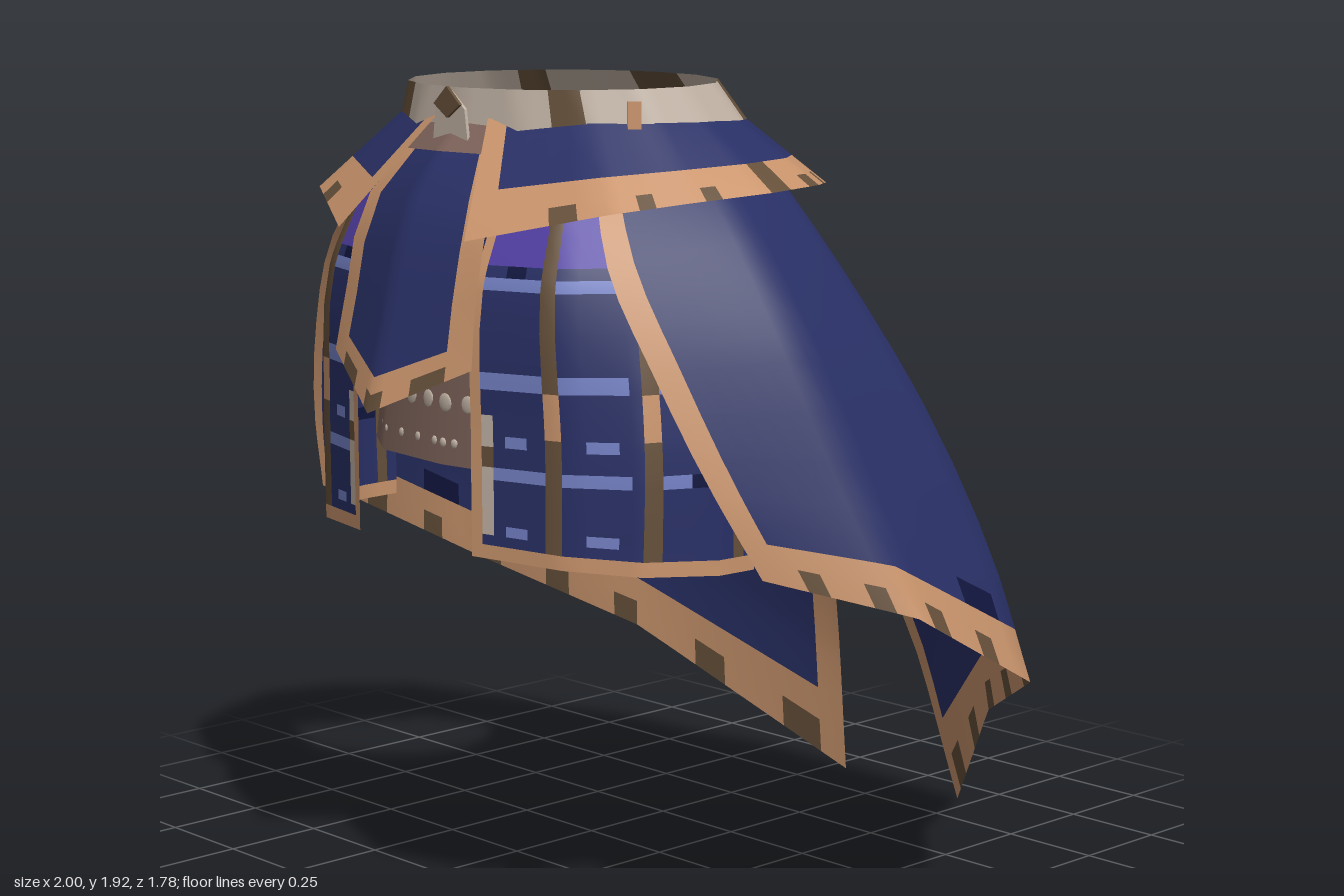
import * as THREE from 'three';
import { mergeVertices } from 'three/addons/utils/BufferGeometryUtils.js';

const mat = (name, color) => new THREE.MeshStandardMaterial({ name, color, side: THREE.DoubleSide });
const navy = mat('navy cloth', 0x293066);
const tan = mat('tan trim', 0xc9946c);
const brown = mat('worn brown', 0x66503a);
const beige = mat('beige leather', 0xc2b3a5);
const purple = mat('purple cloth', 0x5441a8);
const blue = mat('pale blue stripe', 0x7582c6);
const ink = mat('dark navy', 0x11163f);
const lining = mat('brown lining', 0x7f645b);

const spline = points => new THREE.CatmullRomCurve3(points, false, 'catmullrom', 0.5);
const steps = (from, to, count) => Array.from({ length: count + 1 }, (_, i) => from + (to - from) * i / count);
const within = (x, a, b) => x > a && x < b;

// Surface through several downward curves; u walks over the columns, v runs down.
// soft rounds the upper part across the columns, while the hem stays angular.
function surface(columns, soft) {
  const curves = columns.map(c => spline(c.map(p => new THREE.Vector3(...p))));
  return (u, v) => {
    const k = Math.min(Math.floor(u), curves.length - 2);
    const ring = curves.map(c => c.getPoint(v));
    const p = ring[k].clone().lerp(ring[k + 1], u - k);
    if (soft) p.lerp(spline(ring).getPoint(u / (curves.length - 1)), soft * (1 - v));
    p.x = Math.max(p.x, 0);
    return p;
  };
}

// Mirrored cloth sheet: every cell of the grid takes the material from paint(u, v, column)
function sheet(name, columns, us, vs, paint, soft = 0) {
  const at = surface(columns, soft), positions = [], cells = new Map();
  const n = vs.length, half = us.length * n;
  for (const s of [1, -1])
    for (const u of us) for (const v of vs) {
      const p = at(u, v);
      positions.push(s * p.x, p.y, p.z);
    }
  for (let i = 0; i < us.length - 1; i++)
    for (let j = 0; j < n - 1; j++) {
      const m = paint((us[i] + us[i + 1]) / 2, (vs[j] + vs[j + 1]) / 2, i);
      if (!cells.has(m)) cells.set(m, []);
      const a = i * n + j, b = a + 1, d = a + n, c = d + 1;
      cells.get(m).push(a, b, c, a, c, d);
      cells.get(m).push(...[a, c, b, a, d, c].map(k => k + half));
    }
  let geo = new THREE.BufferGeometry();
  geo.setAttribute('position', new THREE.Float32BufferAttribute(positions, 3));
  geo.setIndex([...cells.values()].flat());
  geo = mergeVertices(geo, 1e-4);
  let start = 0;
  [...cells.values()].forEach((list, k) => {
    geo.addGroup(start, list.length, k);
    start += list.length;
  });
  geo.computeVertexNormals();
  const mesh = new THREE.Mesh(geo, [...cells.keys()]);
  mesh.name = name;
  return mesh;
}

// Point on a level ellipse; angle 0 is the front
const oval = (a, rx, rz, y, z) => [rx * Math.sin(a), y, z + rz * Math.cos(a)];

export function createModel() {
  const model = new THREE.Group();
  model.name = 'armoured skirt';

  // Long outer skirt, open in front and slit at the back
  model.add(sheet('outerSkirt', [
    [[0.37, 1.75, 0.55], [0.485, 1.53, 0.61], [0.59, 1.32, 0.58], [0.685, 1.1, 0.52], [0.775, 0.875, 0.43]],
    [[0.45, 1.78, 0.3], [0.63, 1.58, 0.31], [0.77, 1.34, 0.29], [0.88, 1.07, 0.24], [1, 0.79, 0.18]],
    [[0.42, 1.78, 0.1], [0.62, 1.5, 0.02], [0.78, 1.2, -0.08], [0.9, 0.88, -0.17], [0.97, 0.57, -0.24]],
    [[0.25, 1.78, -0.02], [0.37, 1.44, -0.25], [0.5, 1.08, -0.4], [0.58, 0.73, -0.47], [0.62, 0.39, -0.51]],
    [[0, 1.8, -0.07], [0, 1.4, -0.4], [0, 1, -0.56], [0.12, 0.5, -0.76], [0.2, 0, -0.89]],
  ],
  [0, 0.18, ...steps(0.3, 3.7, 24), 3.88, 3.93, 4],
  [...steps(0, 0.4, 5), 0.45, 0.5, 0.6, 0.7, 0.8, 0.85, 0.9, 0.95, 1],
  (u, v, i) => {
    if (v > 0.95 && i % 3 === 2) return brown;
    if (v > 0.9 || u < 0.18 || (u > 3.88 && v > 0.5) || (u > 3.93 && v > 0.4)) return tan;
    return v > 0.85 && within(u, 1.6, 1.9) ? ink : navy;
  }, 0.3));

  // Flared collar below the belt: angle at the belt, then the rim point
  const collarRim = [
    [0.2, 0.22, 1.59, 0.79], [0.785, 0.5, 1.655, 0.63], [1.178, 0.58, 1.675, 0.46], [1.571, 0.64, 1.69, 0.27],
    [1.963, 0.57, 1.69, 0.05], [2.356, 0.45, 1.68, -0.1], [2.749, 0.225, 1.67, -0.185], [3.1416, 0, 1.66, -0.27],
  ];
  model.add(sheet('collar',
    collarRim.map(([a, ...rim]) => [oval(a, 0.45, 0.33, 1.84, 0.285), rim]),
    [0, 0.2, ...steps(0.4, 7, 33)], [0, 0.35, 0.7, 0.86, 1],
    (u, v, i) => {
      if (v > 0.7 && (u > 6.5 || within(u, 3, 3.4))) return brown;
      if (v > 0.86 && i % 4 === 3) return brown;
      return v > 0.7 || u < 0.2 ? tan : navy;
    }));

  // Belt
  model.add(sheet('belt',
    steps(0, Math.PI, 8).map(a => {
      const c = Math.cos(a);
      return [oval(a, 0.42, 0.3, 1.9125 - 0.0075 * c, 0.31), oval(a, 0.465, 0.345, 1.815 - 0.015 * c, 0.28)];
    }),
    steps(0, 8, 32), [0, 1],
    u => (u > 7.5 || within(u, 1.5, 2) || within(u, 5.5, 6) ? brown : beige)));

  // Checked hip cloth all round under the belt, seen through the waist opening
  model.add(sheet('hipCloth',
    steps(0, Math.PI, 8).map(a => [oval(a, 0.455, 0.33, 1.83, 0.28), oval(a, 0.5, 0.4, 1.55, 0.245)]),
    steps(0, 8, 32), [0, 0.1, 0.6, 0.75, 0.9, 1],
    (u, v, i) => {
      if (i % 6 === 3) return brown;
      if (within(v, 0.75, 0.9)) return i % 6 === 0 ? ink : blue;
      return within(v, 0.1, 0.6) && i % 6 > 3 ? purple : navy;
    }));

  // Side thigh guards with a woven check
  model.add(sheet('thighGuards', [
    [[0.2, 1.66, 0.68], [0.2, 1.45, 0.755], [0.2, 1.15, 0.76], [0.2, 0.89, 0.76]],
    [[0.36, 1.66, 0.62], [0.4, 1.45, 0.69], [0.42, 1.15, 0.69], [0.42, 0.88, 0.69]],
    [[0.42, 1.66, 0.51], [0.51, 1.45, 0.555], [0.56, 1.15, 0.575], [0.56, 0.87, 0.58]],
    [[0.44, 1.66, 0.42], [0.56, 1.45, 0.42], [0.62, 1.15, 0.42], [0.625, 0.86, 0.41]],
    [[0.46, 1.66, 0.32], [0.57, 1.45, 0.32], [0.625, 1.15, 0.31], [0.63, 0.86, 0.31]],
  ],
  [0, 0.12, 0.25, 0.38, 0.62, 0.82, 1, 1.3, 1.7, 1.85, 2, 2.25, 2.65, 3, 3.4, 3.7, 4],
  [0, 0.1, 0.21, 0.25, 0.29, 0.4, 0.5, 0.54, 0.6, 0.65, 0.68, 0.735, 0.77, 0.85, 0.9, 0.93, 0.96, 1],
  (u, v) => {
    const line = within(v, 0.25, 0.29) || within(v, 0.5, 0.54) || within(v, 0.735, 0.77);
    const dot = within(v, 0.65, 0.68) || within(v, 0.9, 0.93);
    if (v > 0.96 || u < 0.12) return tan;
    if (u < 0.25 && within(v, 0.6, 0.93)) return within(v, 0.68, 0.735) ? brown : beige;
    if (within(u, 0.82, 1) || within(u, 2, 2.25) || within(u, 3.4, 3.7)) return within(v, 0.54, 0.65) ? tan : brown;
    if (line) return u > 2.65 ? ink : within(u, 1.85, 2) ? navy : blue;
    if (dot && (within(u, 0.38, 0.62) || within(u, 1.3, 1.7))) return blue;
    if (v < 0.21) return u > 2.25 ? ink : purple;
    return v < 0.25 && within(u, 0.38, 0.62) ? ink : navy;
  }));

  // Pointed front apron with a central ridge
  model.add(sheet('frontApron', [
    [[0, 1.83, 0.62], [0, 1.65, 0.77], [0, 1.42, 0.83], [0, 1.2, 0.89]],
    [[0.11, 1.83, 0.6], [0.215, 1.65, 0.715], [0.225, 1.48, 0.76], [0.24, 1.31, 0.79]],
  ],
  [0, 0.12, 0.4, 0.74, 0.87, 1], [0, 0.12, 0.3, 0.5, 0.7, 0.88, 0.94, 1],
  (u, v) => {
    if (v < 0.12) return lining;
    if (v > 0.94 && (u < 0.12 || within(u, 0.4, 0.74))) return brown;
    return v > 0.88 || u > 0.74 ? tan : navy;
  }));

  // Inner front panel below the hip cloth
  model.add(sheet('innerPanel', [
    [[0, 1.55, 0.637], [0, 1.06, 0.68]],
    [[0.219, 1.55, 0.607], [0.25, 1.06, 0.65]],
    [[0.363, 1.55, 0.518], [0.4, 1.06, 0.55]],
    [[0.438, 1.55, 0.408], [0.47, 1.06, 0.42]],
  ], steps(0, 3, 6), [0, 0.5, 1], () => lining));

  // Flat studs showing on both faces of the inner panel
  const studs = new THREE.Group();
  studs.name = 'panelStuds';
  const studShape = new THREE.SphereGeometry(0.02, 8, 6);
  for (const [y, r, shift] of [[1.2, 1.1, 0], [1.11, 0.55, 0.035]])
    for (let i = -5; i <= 5; i++) {
      const x = i * 0.07 - Math.sign(i) * shift, ax = Math.abs(x);
      const stud = new THREE.Mesh(studShape, beige);
      stud.name = 'stud';
      stud.scale.set(r, r, 0.24);
      stud.position.set(x, y, (ax < 0.24 ? 0.667 - 0.125 * ax : 0.637 - 0.66 * (ax - 0.24)) + (1.2 - y) * 0.09);
      stud.rotation.y = Math.sign(x) * (ax < 0.24 ? 0.12 : 0.58);
      studs.add(stud);
    }
  model.add(studs);

  // Small knot at the front of the belt
  const knot = (name, points, z, material) => {
    const shape = new THREE.Shape(points.map(p => new THREE.Vector2(...p)));
    const mesh = new THREE.Mesh(new THREE.ExtrudeGeometry(shape, { depth: 0.008, bevelEnabled: false }), material);
    mesh.name = name;
    mesh.position.z = z;
    model.add(mesh);
  };
  knot('beltKnot', [[-0.06, 1.79], [0.06, 1.79], [0.05, 1.86], [0, 1.9], [-0.05, 1.86]], 0.635, beige);
  knot('knotFold', [[-0.045, 1.87], [0, 1.84], [0.045, 1.87], [0, 1.91]], 0.645, brown);

  // Buckle on the side of the belt
  const buckle = new THREE.Mesh(new THREE.BoxGeometry(0.03, 0.06, 0.009), tan);
  buckle.name = 'beltBuckle';
  buckle.position.set(0.405, 1.855, 0.46);
  buckle.rotation.y = 1;
  model.add(buckle);

  return model;
}
